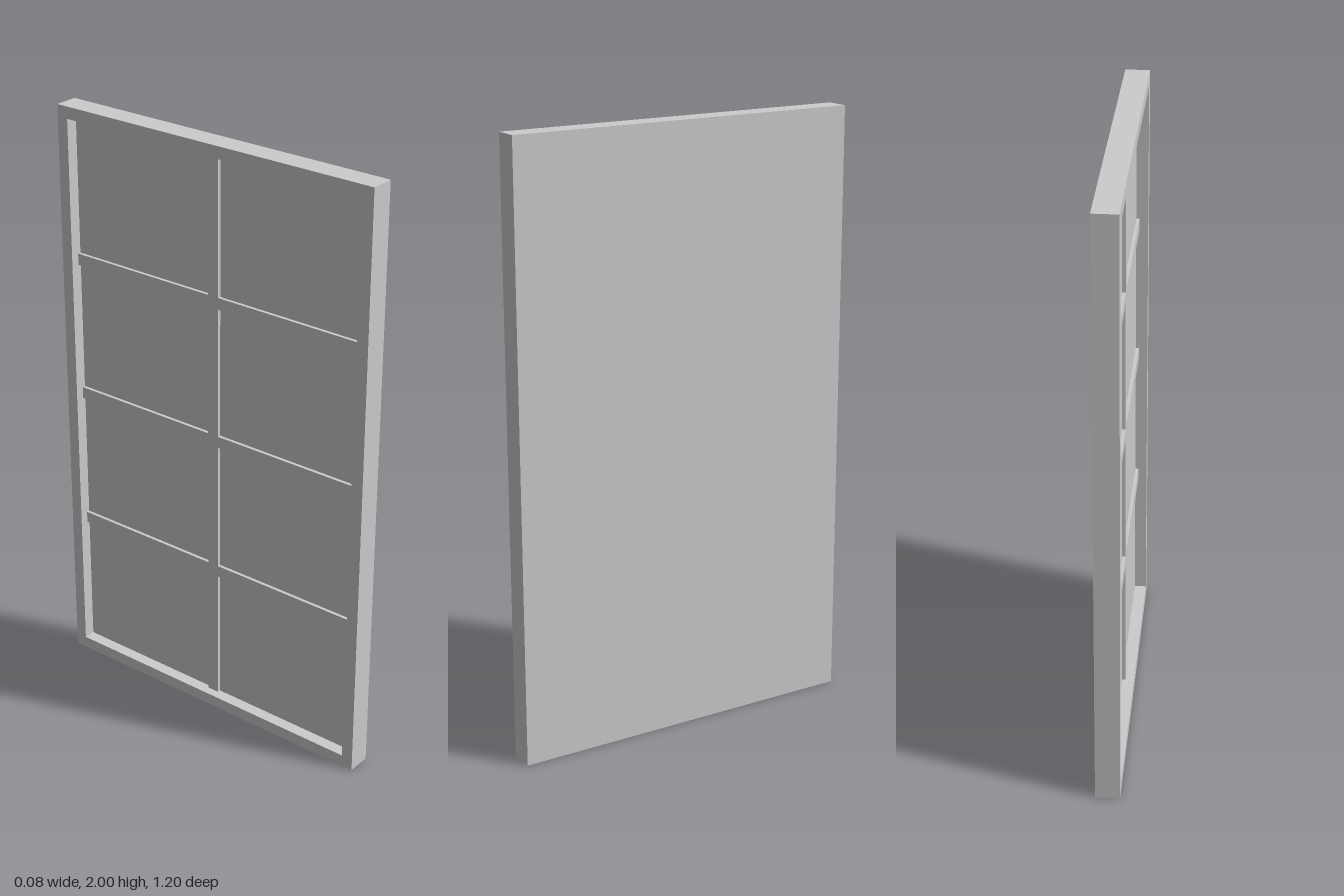
import * as THREE from 'three';

const H = 2, W = 1.2, RIM = 0.04;

export function createModel() {
  const group = new THREE.Group();
  const material = new THREE.MeshStandardMaterial({ color: 0xcccccc, flatShading: true });

  // Box spanning x0..x1, centred on the given height and depth
  const addBox = (name, x0, x1, height, depth, y, z = 0) => {
    const mesh = new THREE.Mesh(new THREE.BoxGeometry(x1 - x0, height, depth), material);
    mesh.name = name;
    mesh.position.set((x0 + x1) / 2, y, z);
    group.add(mesh);
  };

  // Solid panel, flat on the +x face
  addBox('panel', 0, 0.04, H, W, H / 2);

  // Raised rim around the -x face
  const outline = new THREE.Shape([
    [-W / 2, 0], [W / 2, 0], [W / 2, H], [-W / 2, H],
  ].map(([x, y]) => new THREE.Vector2(x, y)));
  const a = W / 2 - RIM;
  outline.holes.push(new THREE.Path([
    [-a, RIM], [-a, H - RIM], [a, H - RIM], [a, RIM],
  ].map(([x, y]) => new THREE.Vector2(x, y))));
  const rim = new THREE.Mesh(
    new THREE.ExtrudeGeometry(outline, { depth: 0.04, bevelEnabled: false }), material);
  rim.name = 'rim';
  rim.rotation.y = -Math.PI / 2;
  group.add(rim);

  // Shallow ribs dividing the recess into two columns and four rows
  const innerH = H - 2 * RIM;
  for (let i = 1; i < 4; i++) {
    addBox('horizontalRib', -0.011, 0, 0.04, 2 * a, RIM + innerH * i / 4);
  }
  const ribLength = innerH / 4;
  for (let i = 0; i < 4; i++) {
    const low = RIM + ribLength * i + (i > 0 ? 0.02 : 0);
    const high = RIM + ribLength * (i + 1) - (i < 3 ? 0.02 : 0);
    addBox('verticalRib', -0.011, 0, high - low, 0.04, (low + high) / 2);
  }
  return group;
}
